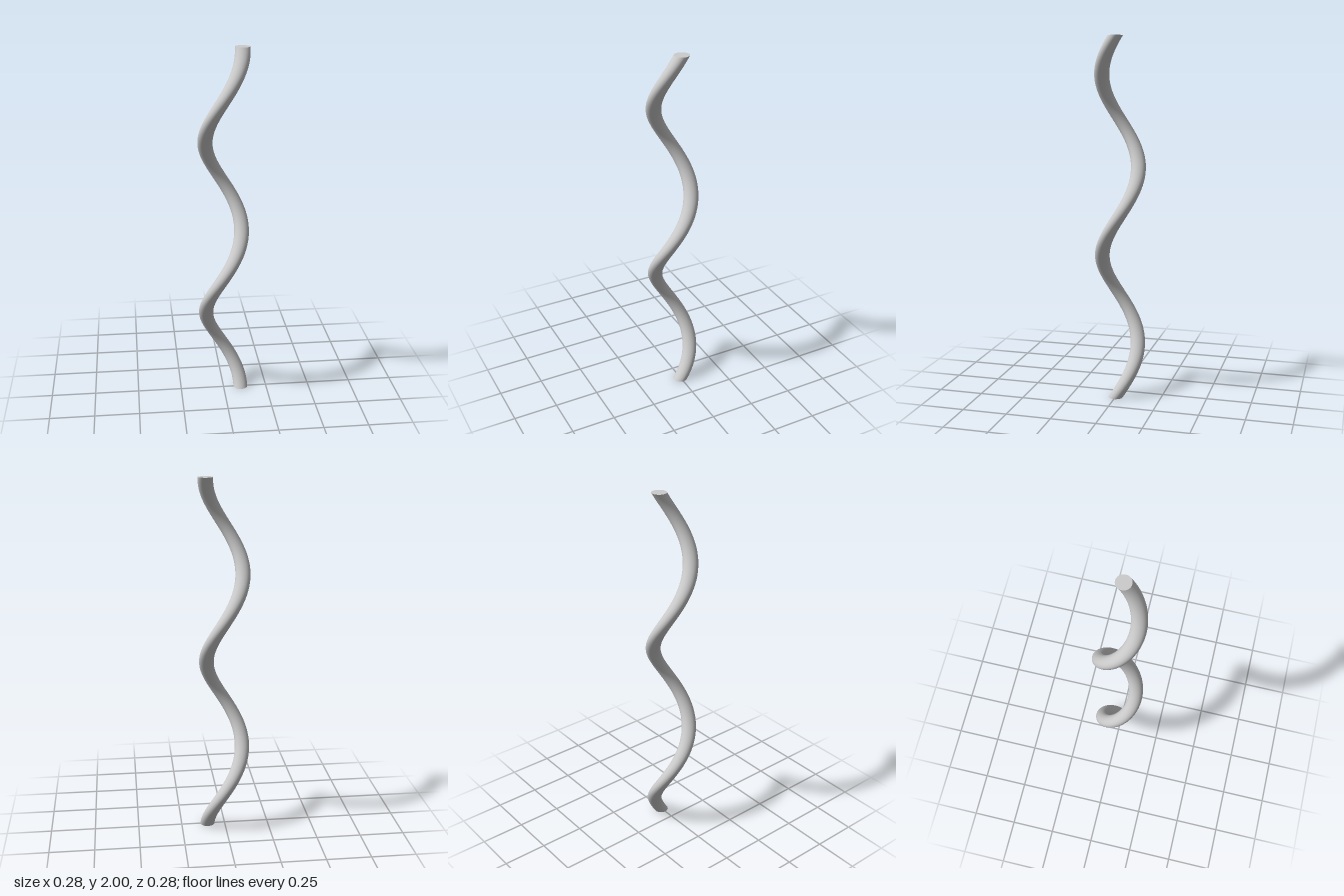
import * as THREE from 'three';

const HEIGHT = 2, TURNS = 2, OFFSET = 0.1, RADIUS = 0.041;

export function createModel() {
  const group = new THREE.Group();
  group.name = 'helicalRod';

  // Upright rod whose level round sections are carried around the y axis
  const geometry = new THREE.CylinderGeometry(RADIUS, RADIUS, HEIGHT, 48, 160);
  geometry.translate(0, HEIGHT / 2, 0);
  const pos = geometry.attributes.position;
  const normal = geometry.attributes.normal;
  const rate = (TURNS * 2 * Math.PI) / HEIGHT;
  const n = new THREE.Vector3();

  for (let i = 0; i < pos.count; i++) {
    const a = pos.getY(i) * rate;
    pos.setX(i, pos.getX(i) + OFFSET * Math.cos(a));
    pos.setZ(i, pos.getZ(i) - OFFSET * Math.sin(a));

    // Tilt the wall normals to follow the slope; the end caps stay level
    n.fromBufferAttribute(normal, i);
    if (Math.abs(n.y) < 0.5) {
      n.y = OFFSET * rate * (n.x * Math.sin(a) + n.z * Math.cos(a));
      n.normalize();
      normal.setXYZ(i, n.x, n.y, n.z);
    }
  }

  const rod = new THREE.Mesh(geometry, new THREE.MeshStandardMaterial({ color: 0xcccccc }));
  rod.name = 'twistedRod';
  group.add(rod);
  return group;
}
